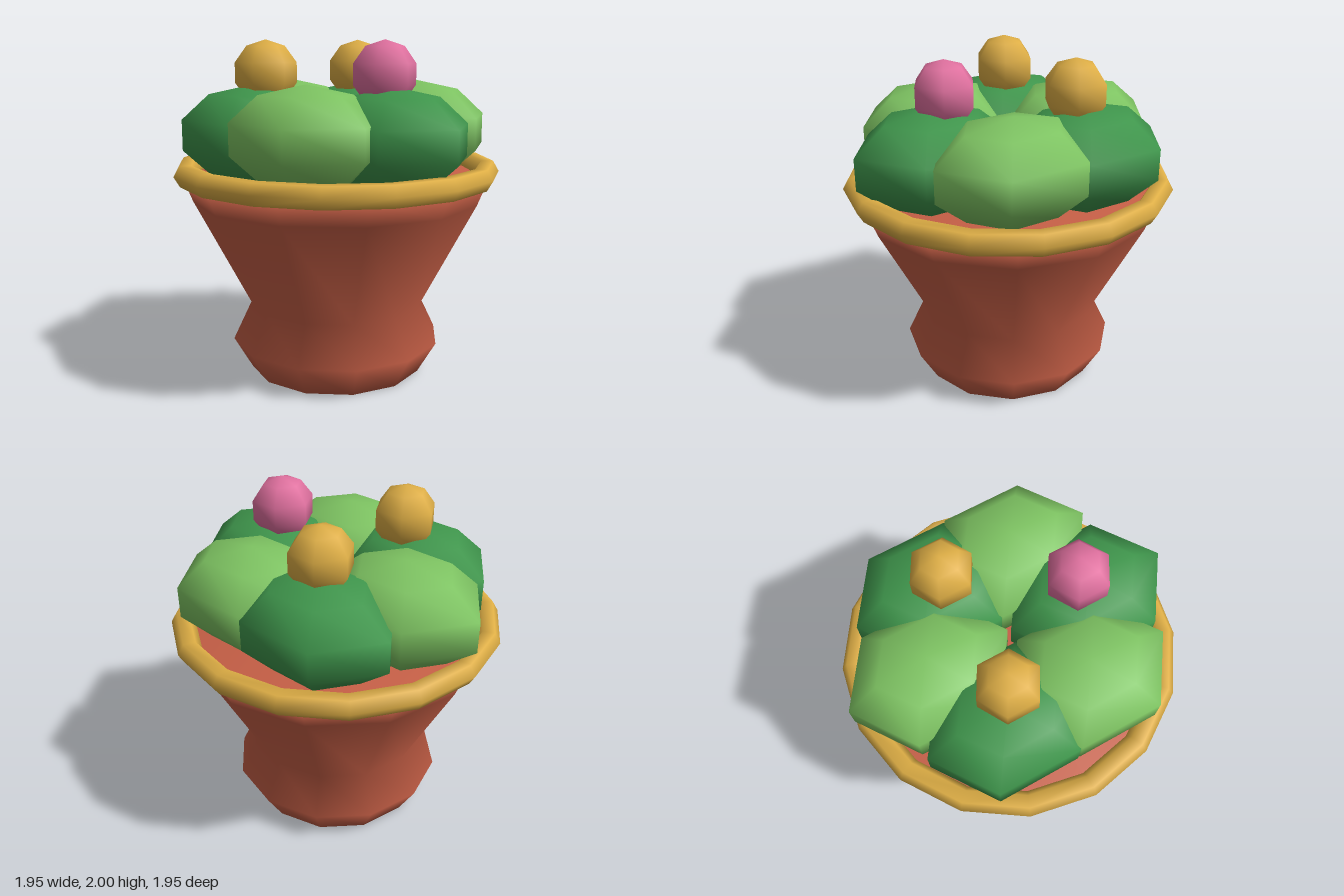
import * as THREE from 'three';

const flat = (name, color) => {
  const m = new THREE.MeshStandardMaterial({ color });
  m.name = name;
  return m;
};

export function createModel() {
  const group = new THREE.Group();
  const terracotta = flat('terracotta', 0xc65f46);
  const gold = flat('gold', 0xdeae45);
  const lightGreen = flat('lightGreen', 0x7ec462);
  const darkGreen = flat('darkGreen', 0x3f964c);
  const pink = flat('pink', 0xe0709f);

  const add = (name, geometry, material, x = 0, y = 0, z = 0) => {
    const mesh = new THREE.Mesh(geometry, material);
    mesh.name = name;
    mesh.position.set(x, y, z);
    group.add(mesh);
    return mesh;
  };

  // Pot: closed twelve-sided turned body, foot bulge, waist and flared wall
  const profile = [
    [0, 0], [0.53, 0], [0.64, 0.19], [0.53, 0.42],
    [0.86, 1.06], [0.92, 1.21], [0, 1.21],
  ].map(([r, y]) => new THREE.Vector2(r, y));
  add('pot', new THREE.LatheGeometry(profile, 12), terracotta);

  // Rim: hexagonal tube around the mouth
  const rim = new THREE.TorusGeometry(0.905, 0.07, 6, 16).rotateX(-Math.PI / 2);
  add('rim', rim, gold, 0, 1.23, 0);

  // Leaf clumps in a ring, alternating shades; a blossom on each dark one
  const clump = new THREE.SphereGeometry(0.42, 6, 5).scale(1.2, 0.7, 1);
  const blossom = new THREE.SphereGeometry(0.19, 6, 5);
  for (let i = 0; i < 6; i++) {
    const a = (i * Math.PI) / 3;
    const dark = i % 2 === 0;
    const x = Math.cos(a), z = Math.sin(a);
    add('leafClump', clump, dark ? darkGreen : lightGreen, x * 0.49, dark ? 1.45 : 1.468, z * 0.49);
    if (dark) add('blossom', blossom, i === 0 ? pink : gold, x * 0.415, 1.81, z * 0.415);
  }
  return group;
}
